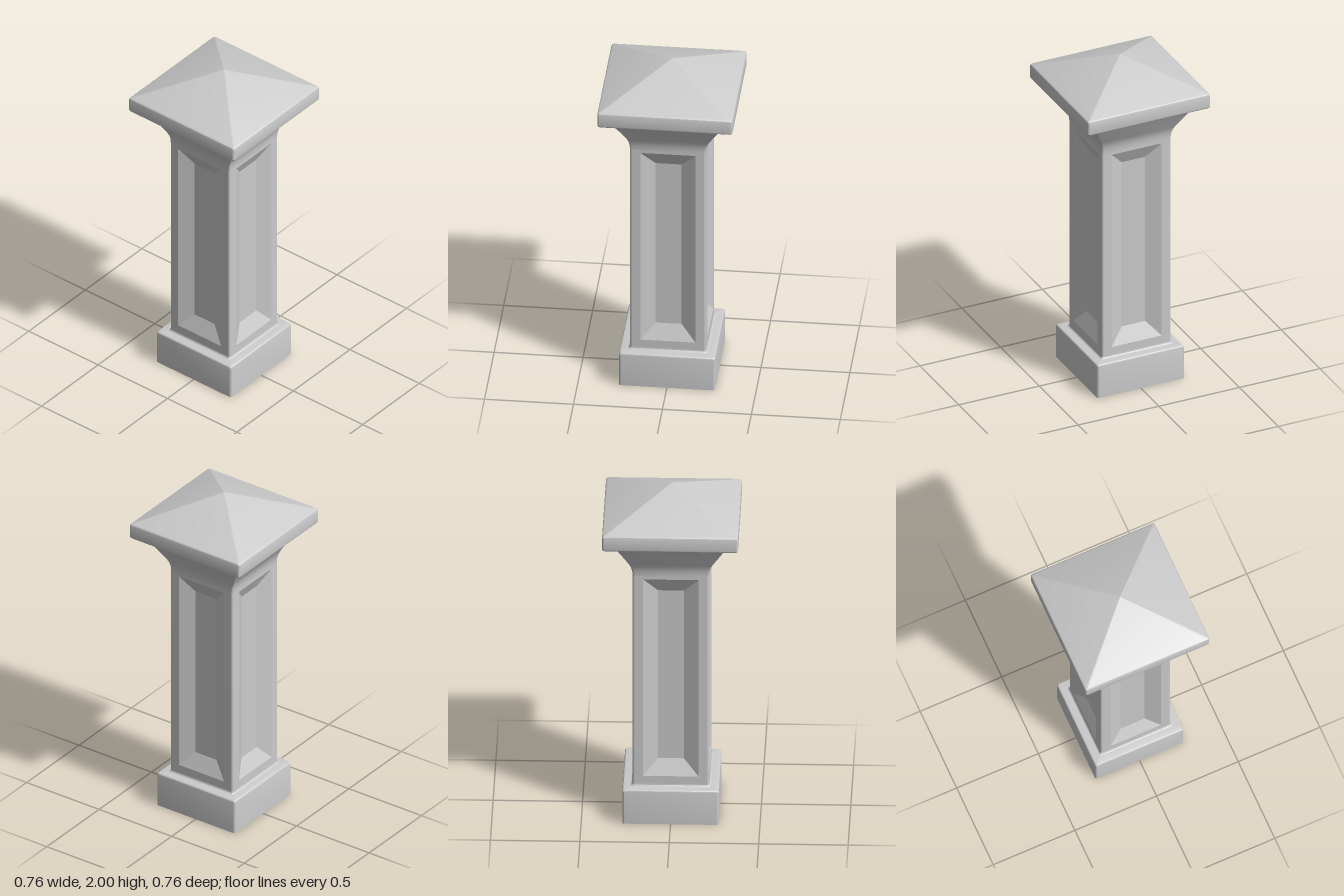
import * as THREE from 'three';
import { toCreasedNormals } from 'three/addons/utils/BufferGeometryUtils.js';

const CORNER = 0.012, STEPS = 6, HALF = 0.215;
const SHAFT_BOTTOM = 0.225, SHAFT_TOP = 1.52;
const material = new THREE.MeshStandardMaterial({ color: 0xcccccc });

function buildMesh(name, positions, indices) {
  const geometry = new THREE.BufferGeometry();
  geometry.setAttribute('position', new THREE.Float32BufferAttribute(positions, 3));
  geometry.setIndex(indices);
  const mesh = new THREE.Mesh(toCreasedNormals(geometry, 0.35), material);
  mesh.name = name;
  return mesh;
}

// Stack of rounded squares; each profile entry is [half width, height]
function squareLoft(name, profile, cornersOnly = false) {
  const positions = [], indices = [], count = 4 * (STEPS + 1);
  for (const [half, y] of profile) {
    const r = Math.min(CORNER, half);
    for (let k = 0; k < 4; k++) {
      const mid = (k + 0.5) * Math.PI / 2;
      const cx = Math.sign(Math.cos(mid)) * (half - r), cz = Math.sign(Math.sin(mid)) * (half - r);
      for (let s = 0; s <= STEPS; s++) {
        const a = (k + s / STEPS) * Math.PI / 2;
        positions.push(cx + r * Math.cos(a), y, cz + r * Math.sin(a));
      }
    }
  }
  for (let i = 0; i < profile.length - 1; i++) {
    for (let j = 0; j < count; j++) {
      if (cornersOnly && j % (STEPS + 1) === STEPS) continue;
      const a = i * count + j, b = i * count + (j + 1) % count;
      indices.push(a, b + count, b, a, a + count, b + count);
    }
  }
  return buildMesh(name, positions, indices);
}

// One shaft side: nested rectangles forming a sunken panel with sloped edges
function panelSide() {
  const rings = [
    [HALF - CORNER, SHAFT_BOTTOM, SHAFT_TOP, HALF],
    [0.155, 0.273, 1.5, HALF],
    [0.073, 0.365, 1.413, HALF - 0.042],
  ];
  const positions = [], indices = [];
  for (const [w, y0, y1, z] of rings) positions.push(-w, y0, z, w, y0, z, w, y1, z, -w, y1, z);
  for (let i = 0; i < 2; i++) {
    for (let j = 0; j < 4; j++) {
      const a = i * 4 + j, b = i * 4 + (j + 1) % 4;
      indices.push(a, b, b + 4, a, b + 4, a + 4);
    }
  }
  indices.push(8, 9, 10, 8, 10, 11);
  return buildMesh('recessedPanel', positions, indices);
}

export function createModel() {
  const post = new THREE.Group();
  post.name = 'post';

  // Plinth with softened top edge
  post.add(squareLoft('plinth', [
    [0, 0], [0.27, 0], [0.27, 0.198], [0.268, 0.204], [0.264, 0.208], [0.258, 0.21], [0.2, 0.21],
  ]));

  // Small fillet where the shaft meets the plinth
  post.add(squareLoft('shaftFoot', [
    [0.225, 0.21], [0.22, 0.212], [0.216, 0.218], [HALF, SHAFT_BOTTOM],
  ]));

  // Shaft corners and four panelled sides
  const shaft = new THREE.Group();
  shaft.name = 'shaft';
  shaft.add(squareLoft('shaftCorners', [[HALF, SHAFT_BOTTOM], [HALF, SHAFT_TOP]], true));
  for (let i = 0; i < 4; i++) {
    const side = panelSide();
    side.rotation.y = i * Math.PI / 2;
    shaft.add(side);
  }
  post.add(shaft);

  // Flared neck, curving out of the shaft
  post.add(squareLoft('flaredNeck', [
    [HALF, SHAFT_TOP], [0.216, 1.54], [0.22, 1.562], [0.226, 1.58], [0.235, 1.6], [0.319, 1.75],
  ]));

  // Cap slab with pyramid roof
  post.add(squareLoft('cap', [
    [0.28, 1.75], [0.368, 1.75], [0.374, 1.752], [0.378, 1.756], [0.38, 1.762],
    [0.38, 1.832], [0.378, 1.838], [0.374, 1.842], [0.368, 1.845], [0, 2],
  ]));
  return post;
}
